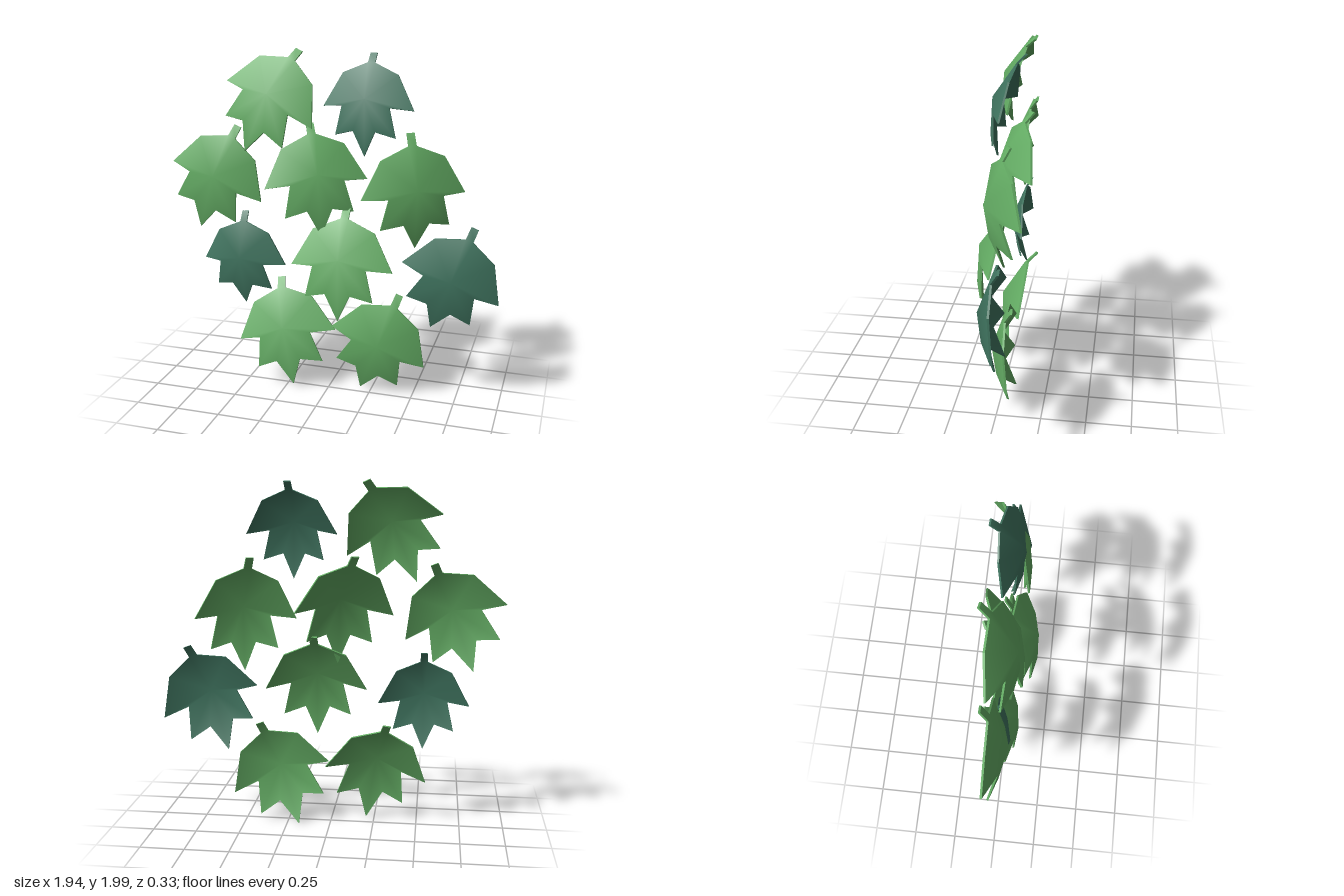
import * as THREE from 'three';

const THICKNESS = 0.01;
const DOME = 0.7;

// Right half of the lobed outline, from bottom tip up to the stem end
const HALF = [
  [0, -0.295], [0.062, -0.167], [0.17, -0.19], [0.133, -0.036],
  [0.255, -0.037], [0.155, 0.148], [0.02, 0.207], [0.019, 0.266],
];
const OUTLINE = [...HALF, ...HALF.slice(1).reverse().map(([x, y]) => [-x, y])];
const STEM = [6, 7, 8, 9]; // outline corners of the stem

// Thin leaf: a domed front fan with a stem, a matching back and a rim
function leafGeometry() {
  const pos = [], index = [];
  const n = OUTLINE.length;
  const point = ([x, y], dz) => {
    pos.push(x, y, -DOME * Math.hypot(x, y) ** 1.5 + dz);
    return pos.length / 3 - 1;
  };
  for (const side of [1, -1]) {
    const dz = side * THICKNESS / 2;
    const face = (a, b, c) => (side > 0 ? index.push(a, b, c) : index.push(a, c, b));
    const centre = point([0, 0], dz);
    const ring = OUTLINE.map((p) => point(p, dz));
    const blade = ring.filter((_, i) => i !== STEM[1] && i !== STEM[2]);
    blade.forEach((a, i) => face(centre, a, blade[(i + 1) % blade.length]));
    const [a, b, c, d] = STEM.map((i) => ring[i]);
    face(a, b, c);
    face(a, c, d);
  }
  // Rim quads have their own corners so the edge stays sharp
  for (let i = 0; i < n; i++) {
    const p = OUTLINE[i], q = OUTLINE[(i + 1) % n], h = THICKNESS / 2;
    const a = point(p, -h), b = point(q, -h), c = point(q, h), d = point(p, h);
    index.push(a, b, c, a, c, d);
  }
  const geometry = new THREE.BufferGeometry();
  geometry.setAttribute('position', new THREE.Float32BufferAttribute(pos, 3));
  geometry.setIndex(index);
  geometry.computeVertexNormals();
  return geometry;
}

// Centre x, y, z, pitch (top leaning back), yaw, roll, size, dark leaf or not
const LEAVES = [
  [-0.333, 1.763, 0.07, 0.33, 0.0, -0.44, 1.14, false],
  [0.214, 1.758, 0.05, 0.3, -0.04, -0.02, 1.0, true],
  [-0.677, 1.275, 0.055, 0.12, 0.03, -0.36, 1.15, false],
  [-0.048, 1.325, 0.055, 0.33, 0.39, 0.2, 1.15, false],
  [0.515, 1.272, 0.05, 0.1, 0.43, 0.09, 1.15, false],
  [-0.53, 0.792, 0.05, 0.08, -0.02, 0.0, 1.0, true],
  [0.714, 0.773, 0.055, 0.03, 0.03, -0.36, 1.15, true],
  [0.098, 0.87, 0.15, 0.33, 0.03, 0.0, 1.15, false],
  [-0.262, 0.388, 0.07, 0.32, 0.07, 0.2, 1.15, false],
  [0.304, 0.333, 0.05, 0.02, 0.05, -0.355, 1.15, false],
];

export function createModel() {
  const model = new THREE.Group();
  model.name = 'leafCluster';
  const geometry = leafGeometry();
  const light = new THREE.MeshStandardMaterial({ color: 0x64ad64 });
  const dark = new THREE.MeshStandardMaterial({ color: 0x407560 });
  LEAVES.forEach(([x, y, z, pitch, yaw, roll, size, isDark], i) => {
    const leaf = new THREE.Mesh(geometry, isDark ? dark : light);
    leaf.name = `${isDark ? 'darkLeaf' : 'lightLeaf'}${i + 1}`;
    leaf.position.set(x, y, z);
    leaf.rotation.set(-pitch, yaw, roll);
    leaf.scale.setScalar(size);
    model.add(leaf);
  });
  return model;
}
